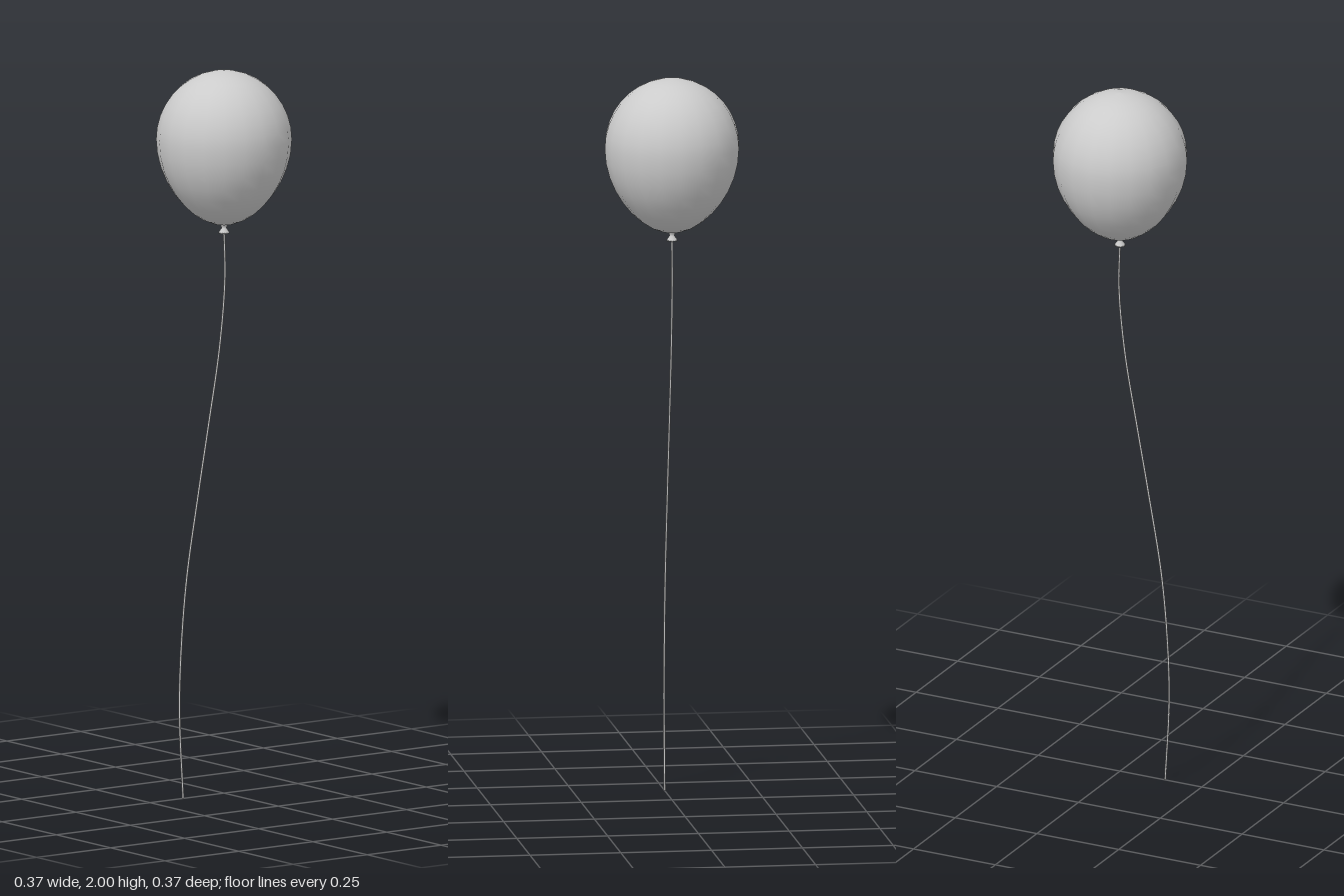
import * as THREE from 'three';

const SIDES = 20;

export function createModel() {
  const model = new THREE.Group();
  const material = new THREE.MeshStandardMaterial({ color: 0xcccccc });
  const thin = new THREE.MeshStandardMaterial({ color: 0xcccccc, side: THREE.DoubleSide });

  function add(name, geometry, mat) {
    const mesh = new THREE.Mesh(geometry, mat);
    mesh.name = name;
    model.add(mesh);
  }

  // Balloon: an egg profile, rounder above the widest ring and tapered below it
  const radius = 0.185, middle = 1.81, rise = 0.19, drop = 0.237;
  const rings = 18;
  const profile = [];
  for (let i = 0; i <= rings; i++) {
    const a = -Math.PI / 2 + (Math.PI * i) / rings;
    const s = Math.sin(a);
    const taper = s < 0 ? 1 - 0.12 * s * s : 1;
    const r = i === 0 || i === rings ? 0 : radius * Math.cos(a) * taper;
    profile.push(new THREE.Vector2(r, middle + s * (s < 0 ? drop : rise)));
  }
  add('balloon', new THREE.LatheGeometry(profile, SIDES), material);

  // Knot: a pinched neck opening into a small flared lip
  const knot = [[0, 1.56], [0.009, 1.552], [0.015, 1.55], [0.014, 1.554], [0.007, 1.564], [0.008, 1.57], [0.014, 1.579]]
    .map(([x, y]) => new THREE.Vector2(x, y));
  add('knot', new THREE.LatheGeometry(knot, SIDES), thin);

  // String: a thin tube hanging in a gentle S
  const path = new THREE.CatmullRomCurve3([
    [0, 1.562], [0.003, 1.42], [-0.015, 1.235], [-0.053, 1.02], [-0.088, 0.83],
    [-0.127, 0.6], [-0.146, 0.39], [-0.15, 0.23], [-0.138, 0],
  ].map(([x, y]) => new THREE.Vector3(x, y, 0)));
  add('string', new THREE.TubeGeometry(path, 48, 0.003, 8), thin);

  return model;
}
